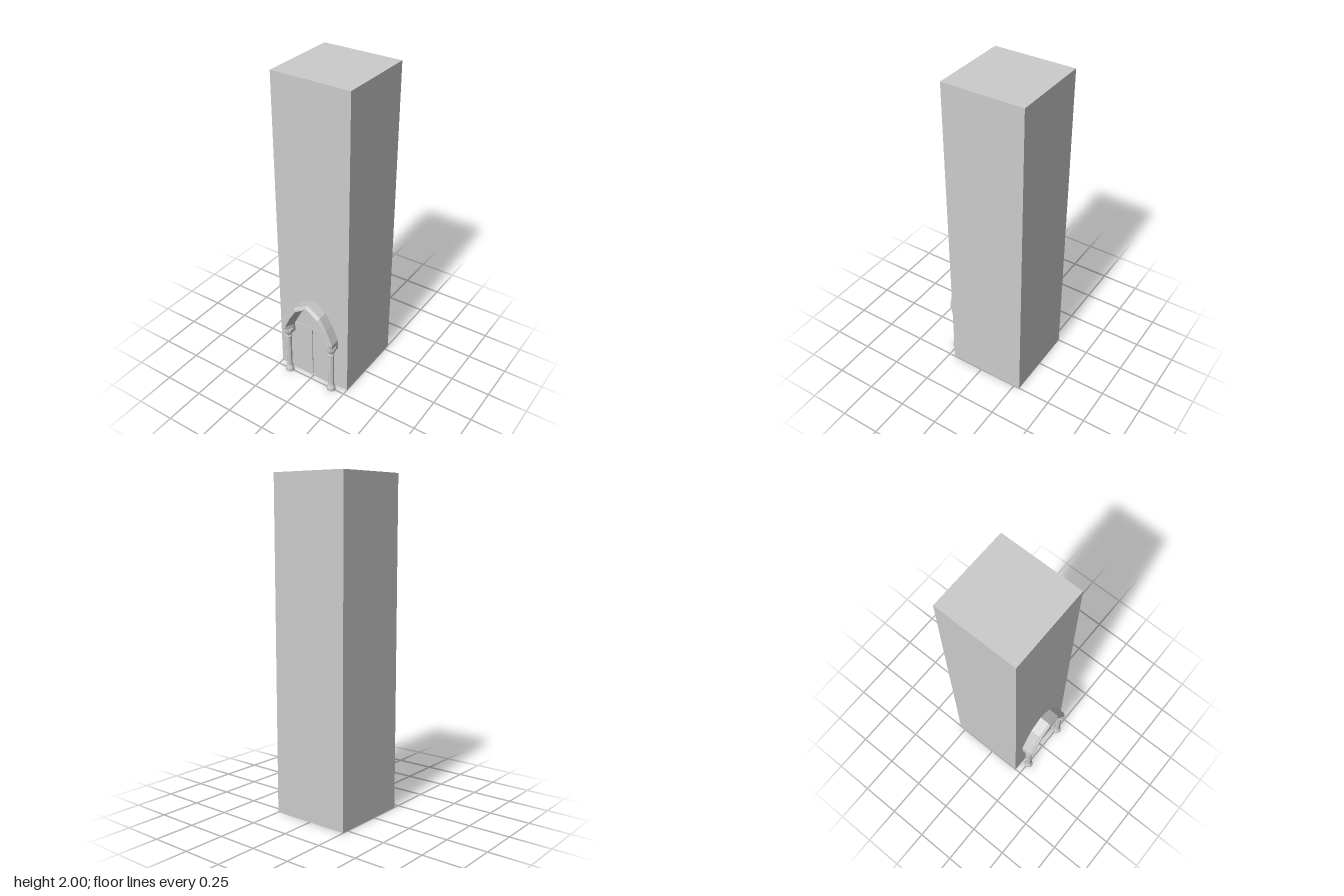
import * as THREE from 'three';

const mat = new THREE.MeshStandardMaterial({ color: 0xcccccc, flatShading: true });
const WALL = 0.21; // front face of the tower

function add(parent, geometry, name, x = 0, y = 0, z = 0) {
  const mesh = new THREE.Mesh(geometry, mat);
  mesh.name = name;
  mesh.position.set(x, y, z);
  parent.add(mesh);
  return mesh;
}

// Mirrors a right-to-apex half path into a full path
const mirrored = (half) => [...half, ...half.slice(0, -1).reverse().map(([x, y]) => [-x, y])];

// Sweeps a moulded profile between the outer and inner arch outlines
function archGeometry() {
  const outer = mirrored([[0.18, 0.31], [0.18, 0.375], [0.137, 0.47], [0.092, 0.548], [0, 0.603]]);
  const inner = mirrored([[0.136, 0.31], [0.136, 0.375], [0.104, 0.445], [0.066, 0.507], [0, 0.556]]);
  // [0 = outer .. 1 = inner, z]
  const profile = [[0, WALL - 0.01], [0, 0.262], [0, 0.273], [0.28, 0.29], [0.48, 0.29], [0.85, 0.255], [1, 0.235], [1, WALL - 0.01]];
  const n = profile.length, last = outer.length - 1;
  const pos = [], idx = [];
  outer.forEach(([ox, oy], i) => profile.forEach(([t, z]) => {
    let y = oy + (inner[i][1] - oy) * t;
    // the feet slope back from the front edge like a corbel
    if (i === 0 || i === last) y += 0.05 * THREE.MathUtils.clamp((z - 0.258) / 0.032, 0, 1);
    pos.push(ox + (inner[i][0] - ox) * t, y, z);
  }));
  for (let i = 0; i < last; i++) for (let j = 0; j < n; j++) {
    const a = i * n + j, b = i * n + (j + 1) % n, c = a + n, d = b + n;
    idx.push(a, c, b, b, c, d);
  }
  // foot caps
  for (let j = 1; j < n - 1; j++) {
    idx.push(0, j, j + 1);
    idx.push(last * n, last * n + j + 1, last * n + j);
  }
  const g = new THREE.BufferGeometry();
  g.setAttribute('position', new THREE.Float32BufferAttribute(pos, 3));
  g.setIndex(idx);
  const flat = g.toNonIndexed();
  flat.computeVertexNormals();
  return flat;
}

// Eight-sided column with foot, shaft, rings and capital
function columnGeometry() {
  const profile = [
    [0, 0], [0.029, 0], [0.028, 0.022], [0.02, 0.04], [0.018, 0.05], [0.018, 0.275],
    [0.022, 0.28], [0.022, 0.288], [0.018, 0.293], [0.018, 0.3], [0.022, 0.305],
    [0.03, 0.33], [0.03, 0.345], [0, 0.345],
  ].map(([r, y]) => new THREE.Vector2(r, y));
  return new THREE.LatheGeometry(profile, 8, Math.PI / 8);
}

function panelGeometry(points, depth) {
  const shape = new THREE.Shape(points.map(([x, y]) => new THREE.Vector2(x, y)));
  return new THREE.ExtrudeGeometry(shape, { depth, bevelEnabled: false });
}

export function createModel() {
  const model = new THREE.Group();
  model.name = 'towerWithDoorway';

  add(model, new THREE.BoxGeometry(0.5, 2, 0.5), 'tower', 0, 1, -0.04);

  const doorway = new THREE.Group();
  doorway.name = 'doorway';
  model.add(doorway);
  add(doorway, archGeometry(), 'pointedArch');

  // Panel above the doors
  const tympanum = mirrored([[0.11, 0.385], [0.11, 0.415], [0.092, 0.452], [0.064, 0.498], [0, 0.542]]);
  add(doorway, panelGeometry(tympanum, 0.008), 'tympanum', 0, 0, WALL - 0.003);

  // Door leaves with a narrow gap between them, joined by rails
  for (const side of [1, -1]) {
    const label = side > 0 ? 'left' : 'right';
    add(doorway, new THREE.BoxGeometry(0.134, 0.382, 0.012), label + 'DoorLeaf', side * 0.073, 0.191, WALL);
    add(doorway, columnGeometry(), label + 'Column', side * 0.16, 0, 0.253);
  }
  add(doorway, new THREE.BoxGeometry(0.012, 0.012, 0.012), 'doorTopRail', 0, 0.376, WALL);
  add(doorway, new THREE.BoxGeometry(0.012, 0.01, 0.012), 'doorSill', 0, 0.005, WALL);

  return model;
}
